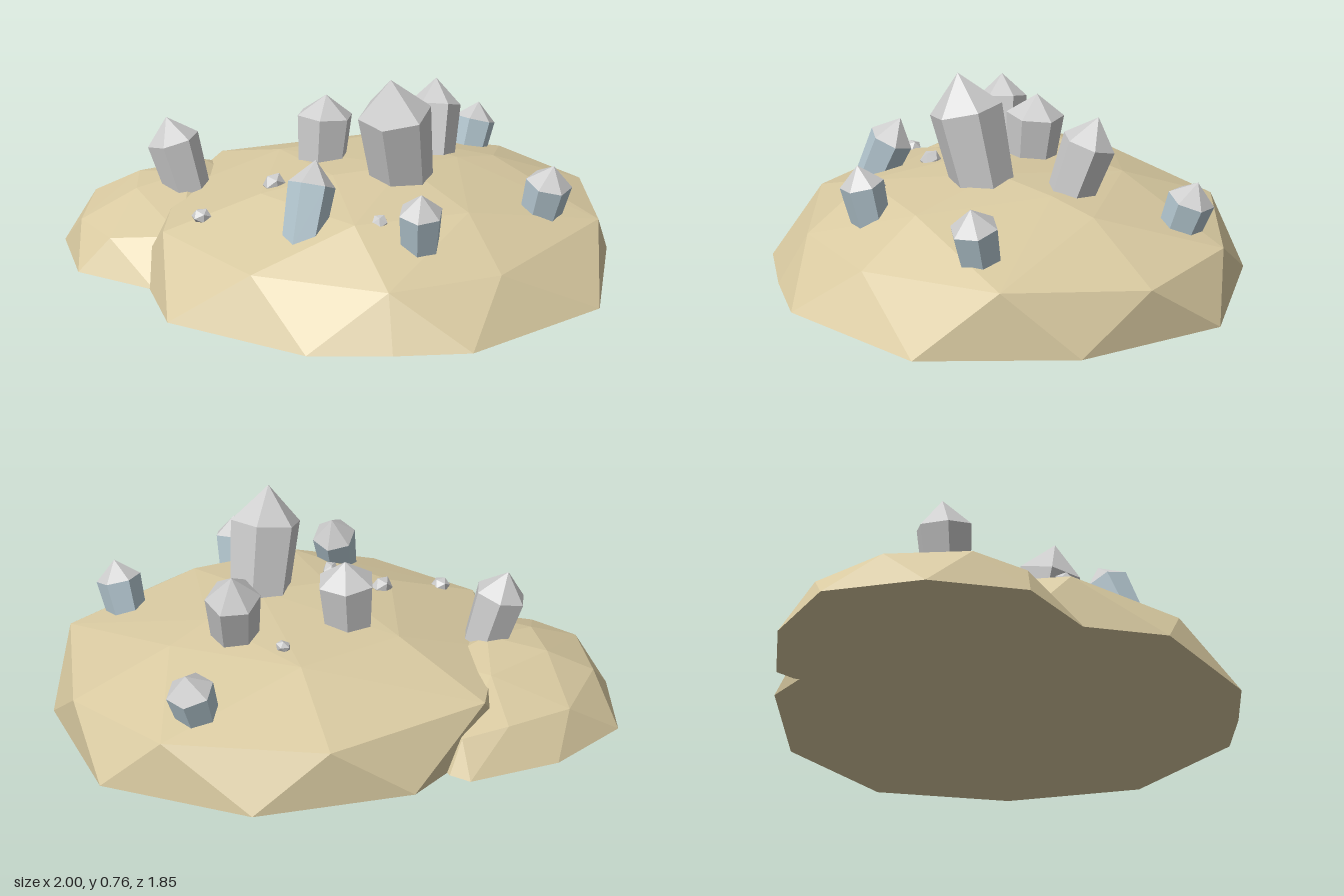
import * as THREE from 'three';
import { ConvexGeometry } from 'three/addons/geometries/ConvexGeometry.js';

function material(name, color) {
  const m = new THREE.MeshStandardMaterial({ color, flatShading: true });
  m.name = name;
  return m;
}

const UP = new THREE.Vector3(0, 1, 0);

export function createModel() {
  const group = new THREE.Group();
  group.name = 'crystalMound';
  const sand = material('sand', 0xd8c9a0);
  const grey = material('greyCrystal', 0xcccccc);
  const blue = material('blueCrystal', 0xb3c6cf);

  // Faceted mound: the hull of a ground ring, a shoulder ring and a crown, each point [x, y, z]
  function mound(name, points) {
    const mesh = new THREE.Mesh(new ConvexGeometry(points.map(p => new THREE.Vector3(...p))), sand);
    mesh.name = name;
    group.add(mesh);
  }

  mound('mainMound', [
    // ground ring
    [0.08, 0, -0.84], [0.63, 0, -0.68], [1.0, 0, -0.25], [0.95, 0, 0.3], [0.65, 0, 0.77],
    [0.08, 0, 0.92], [-0.18, 0, 0.84], [-0.45, 0, 0.73], [-0.81, 0, 0.31], [-0.78, 0, -0.2], [-0.45, 0, -0.66],
    // shoulder ring
    [0.36, 0.2, -0.74], [0.83, 0.2, -0.4], [0.97, 0.19, 0.03], [0.78, 0.225, 0.51], [0.27, 0.18, 0.74],
    [-0.15, 0.18, 0.73], [-0.55, 0.2, 0.46], [-0.73, 0.21, 0.0], [-0.55, 0.2, -0.42], [-0.27, 0.21, -0.74],
    // crown
    [0.25, 0.33, 0.51], [-0.17, 0.33, 0.47], [-0.37, 0.325, 0.05], [-0.15, 0.33, -0.36],
    [0.27, 0.33, -0.38], [0.6, 0.325, 0.0], [-0.1, 0.37, 0.08], [0.17, 0.385, 0.12], [0.42, 0.36, 0.05],
  ]);

  mound('sideMound', [
    // ground ring
    [-1.0, 0, -0.23], [-0.975, 0, -0.56], [-0.8, 0, -0.85], [-0.47, 0, -0.925], [-0.13, 0, -0.87],
    [-0.09, 0, -0.8], [-0.1, 0, -0.4], [-0.4, 0, -0.05], [-0.78, 0, 0.03],
    // shoulder ring
    [-0.94, 0.14, -0.4], [-0.88, 0.13, -0.2], [-0.82, 0.15, -0.66], [-0.58, 0.14, -0.83],
    [-0.32, 0.14, -0.82], [-0.15, 0.12, -0.78], [-0.65, 0.16, -0.05],
    // crown
    [-0.72, 0.235, -0.4], [-0.66, 0.235, -0.58], [-0.5, 0.265, -0.42], [-0.38, 0.23, -0.62], [-0.3, 0.2, -0.4],
  ]);

  // Leaning hexagonal crystal: flared shaft and pointed cap
  function crystal(base, tip, radius, shaftMaterial, turn) {
    const a = new THREE.Vector3(...base), axis = new THREE.Vector3(...tip).sub(a);
    const height = axis.length(), sunk = 0.05, shaft = height * 0.66;
    const part = new THREE.Group();
    part.name = 'crystal';
    part.position.copy(a);
    part.quaternion.setFromUnitVectors(UP, axis.normalize());
    const body = new THREE.Mesh(
      new THREE.CylinderGeometry(radius, radius * 0.85, shaft + sunk, 6, 1, true), shaftMaterial);
    body.name = 'crystalShaft';
    body.position.y = (shaft - sunk) / 2;
    const cap = new THREE.Mesh(new THREE.ConeGeometry(radius, height - shaft, 6, 1, true), grey);
    cap.name = 'crystalTip';
    cap.position.y = (height + shaft) / 2;
    body.rotation.y = cap.rotation.y = turn;
    part.add(body, cap);
    group.add(part);
  }

  // Tall grey crystals
  crystal([0.14, 0.37, 0.165], [0.07, 0.758, 0.22], 0.135, grey, 0.3);
  crystal([0.37, 0.34, -0.07], [0.42, 0.618, -0.15], 0.1, grey, 0.1);
  crystal([-0.04, 0.36, -0.18], [-0.02, 0.59, -0.19], 0.11, grey, 0.5);
  crystal([-0.53, 0.24, -0.375], [-0.59, 0.503, -0.41], 0.1, grey, 0.4);
  // Short blue crystals with grey tips
  crystal([-0.315, 0.28, 0.355], [-0.24, 0.518, 0.28], 0.085, blue, 0.2);
  crystal([0.035, 0.26, 0.57], [0.02, 0.467, 0.61], 0.08, blue, 0.5);
  crystal([0.57, 0.25, 0.45], [0.59, 0.455, 0.5], 0.085, blue, 0.1);
  crystal([0.655, 0.22, -0.34], [0.715, 0.416, -0.37], 0.085, blue, 0.3);

  // Small shards scattered on the ground: x, y, z, radius
  const shards = [
    [-0.59, 0.26, 0.025, 0.038], [-0.3, 0.335, 0.0, 0.045], [-0.18, 0.35, 0.185, 0.042],
    [-0.075, 0.325, 0.47, 0.032], [0.27, 0.35, -0.25, 0.03],
  ];
  shards.forEach(([x, y, z, r], i) => {
    const shard = new THREE.Mesh(new THREE.IcosahedronGeometry(r, 0), grey);
    shard.name = 'shard';
    shard.position.set(x, y, z);
    shard.rotation.set(i, i * 1.7, i * 0.6);
    shard.scale.y = 0.8;
    group.add(shard);
  });

  return group;
}
